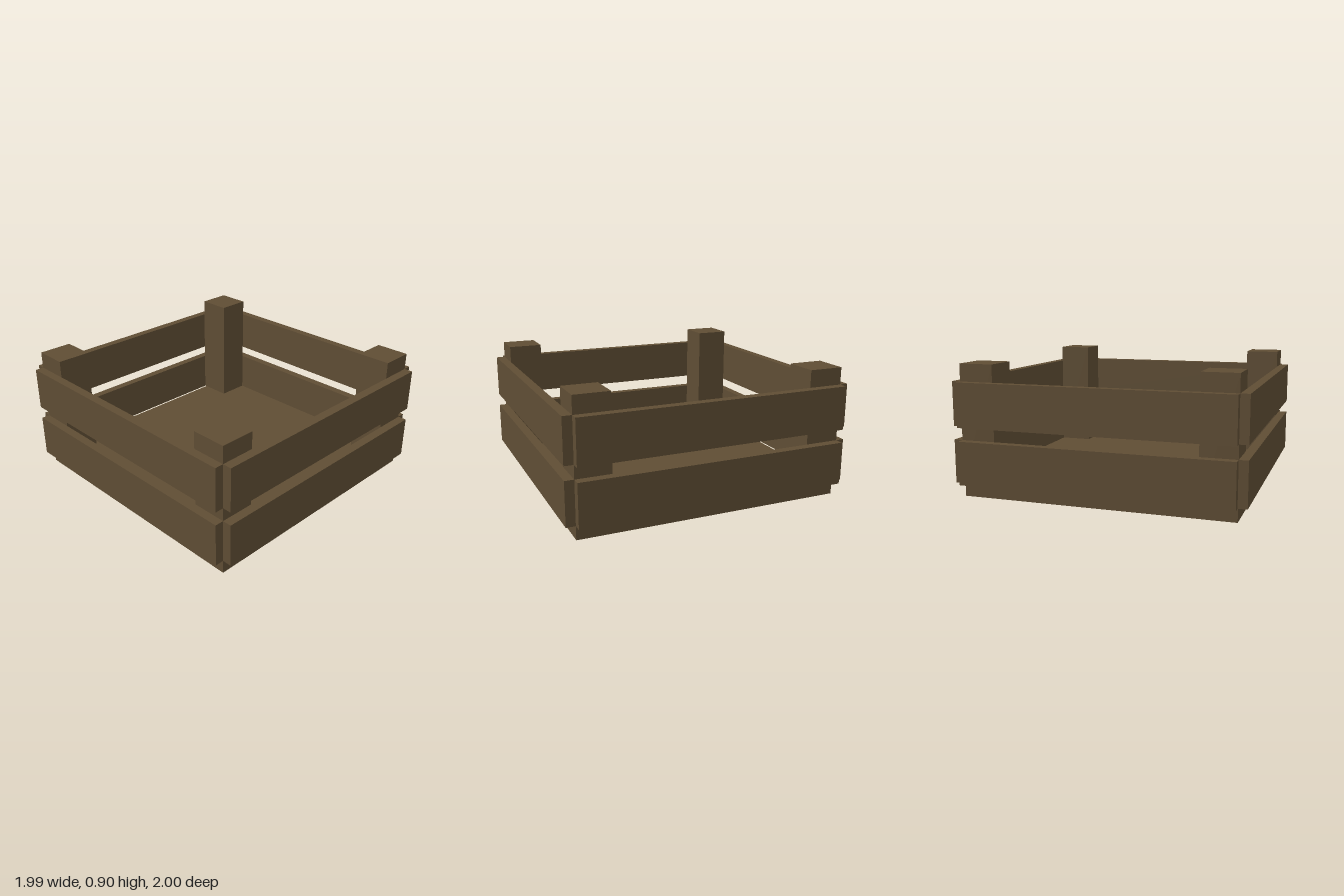
import * as THREE from 'three';

export function createModel() {
  const crate = new THREE.Group();
  crate.name = 'crate';
  const wood = new THREE.MeshStandardMaterial({ color: 0x5f4d34 });
  wood.name = 'brown wood';

  // Box given by its lower and upper bounds on each axis
  function board(name, [x0, x1], [y0, y1], [z0, z1]) {
    const mesh = new THREE.Mesh(new THREE.BoxGeometry(x1 - x0, y1 - y0, z1 - z0), wood);
    mesh.position.set((x0 + x1) / 2, (y0 + y1) / 2, (z0 + z1) / 2);
    mesh.name = name;
    crate.add(mesh);
  }

  const innerX = [-0.933, 0.931];
  const innerZ = [-0.942, 0.937];
  const floorTop = 0.095;

  // Floor, leaving a narrow gap at the back
  board('floor', innerX, [0, floorTop], [-0.926, 0.937]);

  // Corner posts standing on the floor
  for (const [xName, xs] of [['Right', [innerX[0], -0.694]], ['Left', [0.692, innerX[1]]]]) {
    for (const [zName, zs] of [['back', [innerZ[0], -0.7]], ['front', [0.697, innerZ[1]]]]) {
      board(`${zName}${xName}Post`, xs, [floorTop, 0.905], zs);
    }
  }

  // Two rows of slats on the four sides
  for (const [row, ys] of [['lower', [0.093, 0.391]], ['upper', [0.483, 0.786]]]) {
    board(`${row}FrontSlat`, innerX, ys, [innerZ[1], 1]);
    board(`${row}BackSlat`, innerX, ys, [-1, innerZ[0]]);
    board(`${row}RightSlat`, [-0.994, innerX[0]], ys, innerZ);
    board(`${row}LeftSlat`, [innerX[1], 0.992], ys, innerZ);
  }

  return crate;
}
